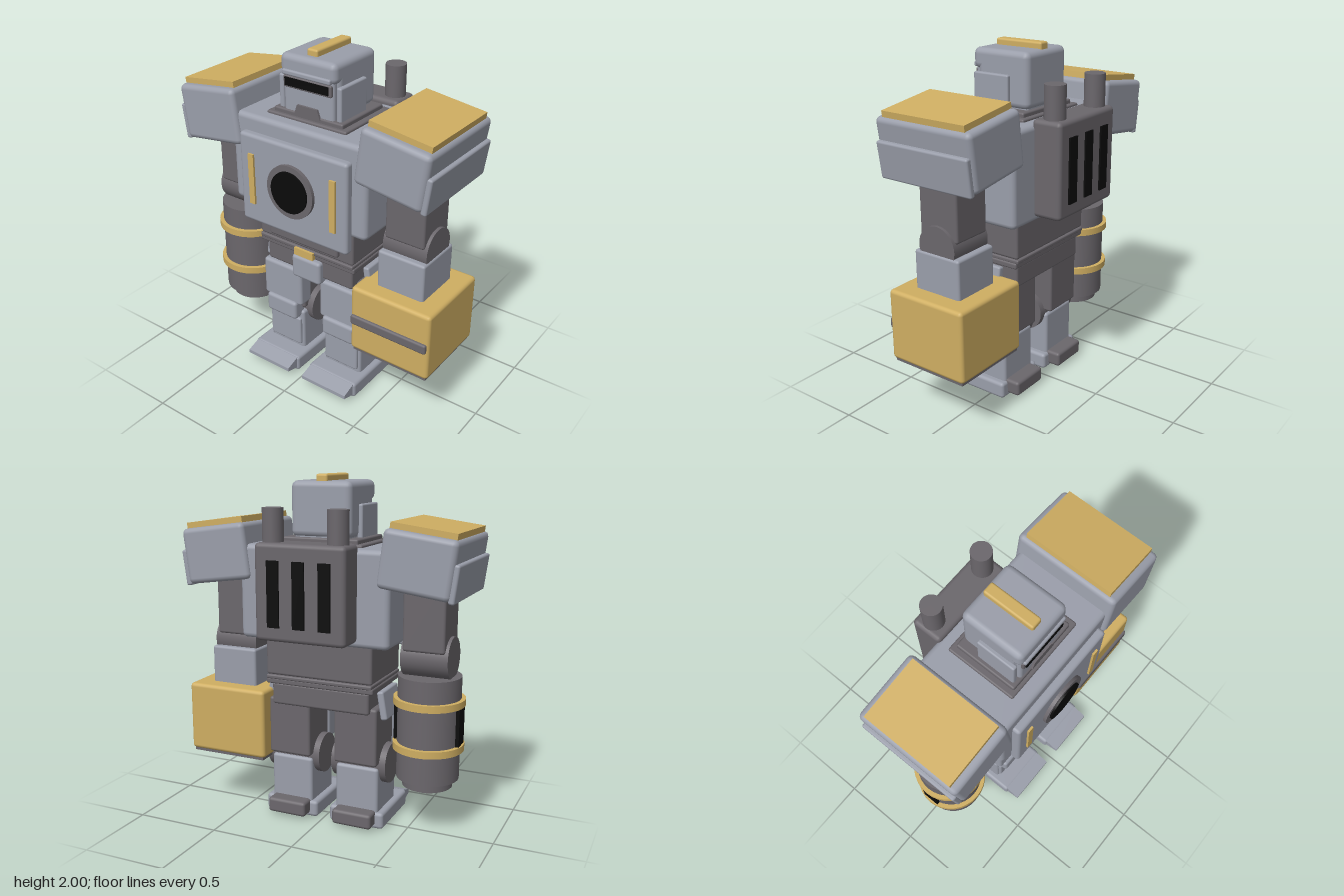
import * as THREE from 'three';
import { RoundedBoxGeometry } from 'three/addons/geometries/RoundedBoxGeometry.js';

const mat = (color) => new THREE.MeshStandardMaterial({ color });
const GREY = mat(0x9a9eaa), DARK = mat(0x6b676c), GOLD = mat(0xcfae62), BLACK = mat(0x0b0b0b);
const MID_Z = 0.045;

function add(parent, name, geometry, material, x = 0, y = 0, z = 0) {
  const mesh = new THREE.Mesh(geometry, material);
  mesh.name = name;
  mesh.position.set(x, y, z);
  parent.add(mesh);
  return mesh;
}

// Box given by its limits on each axis, with softened edges
function box(parent, name, material, [x0, x1], [y0, y1], [z0, z1], bevel = 0.015) {
  const w = x1 - x0, h = y1 - y0, d = z1 - z0;
  const r = Math.min(bevel, Math.min(w, h, d) * 0.35);
  const g = bevel ? new RoundedBoxGeometry(w, h, d, 2, r) : new THREE.BoxGeometry(w, h, d);
  return add(parent, name, g, material, (x0 + x1) / 2, (y0 + y1) / 2, (z0 + z1) / 2);
}

// Upright cylinder between two heights
function post(parent, name, material, r, y0, y1, x, z, sides = 32) {
  return add(parent, name, new THREE.CylinderGeometry(r, r, y1 - y0, sides), material, x, (y0 + y1) / 2, z);
}

// Joint cylinder lying along x
function joint(parent, name, r, length, x, y, z) {
  add(parent, name, new THREE.CylinderGeometry(r, r, length, 32).rotateZ(Math.PI / 2), DARK, x, y, z);
}

const sym = (a) => [-a, a];
const around = (c, w) => [c - w / 2, c + w / 2];

function group(parent, name) {
  const g = new THREE.Group();
  g.name = name;
  parent.add(g);
  return g;
}

function buildTorso(root) {
  const g = group(root, 'torso');
  box(g, 'chest', GREY, sym(0.445), [1.09, 1.62], [-0.24, 0.33], 0.03);
  box(g, 'chestPlate', GREY, sym(0.358), [1.0, 1.53], [0.315, 0.375], 0.02);
  const ringShape = new THREE.Shape().absarc(0, 0, 0.153, 0, Math.PI * 2);
  ringShape.holes.push(new THREE.Path().absarc(0, 0, 0.12, 0, Math.PI * 2, true));
  add(g, 'coreRing', new THREE.ExtrudeGeometry(ringShape, { depth: 0.03, bevelEnabled: false, curveSegments: 32 }),
    DARK, 0, 1.275, 0.365);
  add(g, 'coreLens', new THREE.CylinderGeometry(0.119, 0.119, 0.04, 40).rotateX(Math.PI / 2), BLACK, 0, 1.275, 0.385);
  for (const s of [-1, 1]) box(g, 'chestStrip', GOLD, around(s * 0.272, 0.037), [1.12, 1.42], [0.36, 0.387], 0);

  // Waist and hips
  box(g, 'abdomen', DARK, sym(0.325), [0.87, 1.1], [-0.17, 0.27]);
  box(g, 'bellyPlate', DARK, sym(0.238), [0.9, 0.98], [0.25, 0.295]);
  box(g, 'upperBelt', DARK, sym(0.325), [0.845, 0.87], [-0.175, 0.275], 0.01);
  box(g, 'lowerBelt', DARK, sym(0.33), [0.815, 0.85], [-0.165, 0.265], 0.01);
  box(g, 'buckle', GOLD, sym(0.065), [0.82, 0.865], [0.25, 0.29], 0);
  box(g, 'pelvis', DARK, sym(0.3), [0.69, 0.82], [-0.15, 0.24]);
  box(g, 'groinPlate', GREY, sym(0.1), [0.655, 0.8], [0.2, 0.275], 0.02);
  for (const s of [-1, 1]) {
    const plate = box(g, 'hipPlate', GREY, around(s * 0.35, 0.04), [0.65, 0.815], around(MID_Z, 0.24), 0.012);
    plate.rotation.z = s * 0.17;
  }
}

function buildBackpack(root) {
  const g = group(root, 'backpack');
  box(g, 'backpackCase', DARK, sym(0.265), [1.12, 1.65], [-0.4, -0.22], 0.025);
  for (const x of [-0.15, 0, 0.15]) box(g, 'vent', BLACK, around(x, 0.07), [1.2, 1.56], [-0.41, -0.39], 0);
  for (const s of [-1, 1]) post(g, 'exhaust', DARK, 0.058, 1.6, 1.83, s * 0.19, -0.315);
}

function buildHead(root) {
  const g = group(root, 'head');
  box(g, 'collar', DARK, sym(0.26), [1.6, 1.635], [-0.165, 0.25], 0.01);
  box(g, 'neckBase', DARK, sym(0.225), [1.62, 1.66], [-0.14, 0.23], 0.01);
  box(g, 'skull', GREY, sym(0.163), [1.64, 1.9], [-0.12, 0.222], 0.02);
  box(g, 'helmet', GREY, sym(0.18), [1.66, 1.965], [-0.135, 0.2], 0.035);
  box(g, 'helmetFront', GREY, sym(0.18), [1.85, 1.965], [0.04, 0.232], 0.035);
  box(g, 'brow', GREY, sym(0.155), [1.855, 1.885], [0.21, 0.245], 0.01);
  box(g, 'visorFrame', DARK, sym(0.155), [1.785, 1.85], [0.2, 0.232], 0.008);
  box(g, 'visor', BLACK, sym(0.14), [1.798, 1.842], [0.21, 0.24], 0);
  // Mouth guard narrows toward the top
  const mouth = new THREE.Shape([[-0.085, 0], [0.085, 0], [0.065, 0.055], [-0.065, 0.055]].map((p) => new THREE.Vector2(...p)));
  add(g, 'mouthGuard', new THREE.ExtrudeGeometry(mouth, { depth: 0.035, bevelEnabled: false }), DARK, 0, 1.648, 0.2);
  for (const s of [-1, 1]) box(g, 'earPlate', GREY, around(s * 0.186, 0.032), [1.65, 1.84], [-0.02, 0.21], 0.01);
  box(g, 'crest', GOLD, sym(0.034), [1.94, 2.0], [-0.115, 0.185], 0.012);
}

// Shoulder, upper arm and elbow, for either side
function buildArm(root, s) {
  const g = group(root, s > 0 ? 'leftArm' : 'rightArm');
  const pad = group(g, 'shoulder');
  pad.position.set(s * 0.593, 1.557, MID_Z);
  pad.rotation.z = -s * 0.134;
  box(pad, 'shoulderBlock', GREY, sym(0.202), sym(0.158), sym(0.31), 0.03);
  box(pad, 'shoulderTop', GOLD, sym(0.181), [0.14, 0.19], sym(0.267), 0);
  box(pad, 'shoulderTrim', GREY, around(s * 0.208, 0.035), [-0.165, 0.04], sym(0.297), 0.012);
  box(g, 'upperArm', DARK, around(s * 0.582, 0.24), [1.06, 1.45], around(0.05, 0.25));
  joint(g, 'elbow', 0.12, 0.27, s * 0.585, 1.02, 0.05);
  return g;
}

function buildCannon(arm) {
  const g = group(arm, 'cannon');
  const x = -0.587, z = 0.05;
  post(g, 'barrel', DARK, 0.178, 0.32, 0.915, x, z);
  post(g, 'muzzle', DARK, 0.143, 0.27, 0.33, x, z);
  post(g, 'muzzleTip', DARK, 0.11, 0.255, 0.28, x, z);
  for (const y of [0.51, 0.77]) post(g, 'band', GOLD, 0.202, y - 0.02, y + 0.02, x, z);
  for (const s of [-1, 1]) box(g, 'sideVent', BLACK, around(x + s * 0.175, 0.03), [0.52, 0.755], around(z, 0.1), 0);
}

function buildHammer(arm) {
  const g = group(arm, 'hammerFist');
  box(g, 'forearm', GREY, around(0.583, 0.29), [0.74, 0.985], around(0.05, 0.3));
  box(g, 'fist', GOLD, around(0.585, 0.5), [0.355, 0.765], [-0.2, 0.3], 0.022);
  box(g, 'strikePlate', DARK, around(0.585, 0.47), [0.34, 0.37], [-0.185, 0.285], 0);
  box(g, 'fistBand', DARK, around(0.583, 0.48), [0.53, 0.59], [0.28, 0.316], 0.012);
}

function buildLeg(root, s) {
  const g = group(root, s > 0 ? 'leftLeg' : 'rightLeg');
  const c = s * 0.207;
  box(g, 'thigh', DARK, around(c, 0.26), [0.38, 0.72], [-0.12, 0.19]);
  box(g, 'thighPlate', GREY, around(c, 0.28), [0.42, 0.67], [0.13, 0.235], 0.02);
  joint(g, 'knee', 0.118, 0.335, c, 0.365, 0.045);
  box(g, 'kneePad', GREY, around(c, 0.22), [0.32, 0.44], [0.16, 0.255], 0.02);
  box(g, 'shin', GREY, around(c, 0.26), [0.08, 0.36], [-0.09, 0.2], 0.018);
  box(g, 'shinPlate', GREY, around(c, 0.23), [0.12, 0.31], [0.18, 0.217], 0.012);
  box(g, 'foot', GREY, around(c, 0.335), [0, 0.098], [-0.1, 0.31], 0.02);
  box(g, 'heel', DARK, around(c, 0.24), [0.02, 0.108], [-0.175, -0.07], 0.018);
  // Toe wedge: side profile swept across the foot
  const toe = new THREE.Shape([[0.28, 0.018], [0.305, 0.02], [0.39, 0.045], [0.39, 0.066], [0.305, 0.094], [0.28, 0.094]]
    .map((p) => new THREE.Vector2(...p)));
  const toeGeo = new THREE.ExtrudeGeometry(toe, { depth: 0.31, bevelEnabled: false });
  toeGeo.translate(0, 0, -0.155).rotateY(-Math.PI / 2);
  add(g, 'toe', toeGeo, GREY, c, 0, 0);
}

export function createModel() {
  const root = new THREE.Group();
  root.name = 'robot';
  const body = group(root, 'body');
  body.position.x = -0.005;
  buildTorso(body);
  buildBackpack(body);
  buildHead(body);
  buildCannon(buildArm(body, -1));
  buildHammer(buildArm(body, 1));
  for (const s of [-1, 1]) buildLeg(body, s);
  return root;
}
